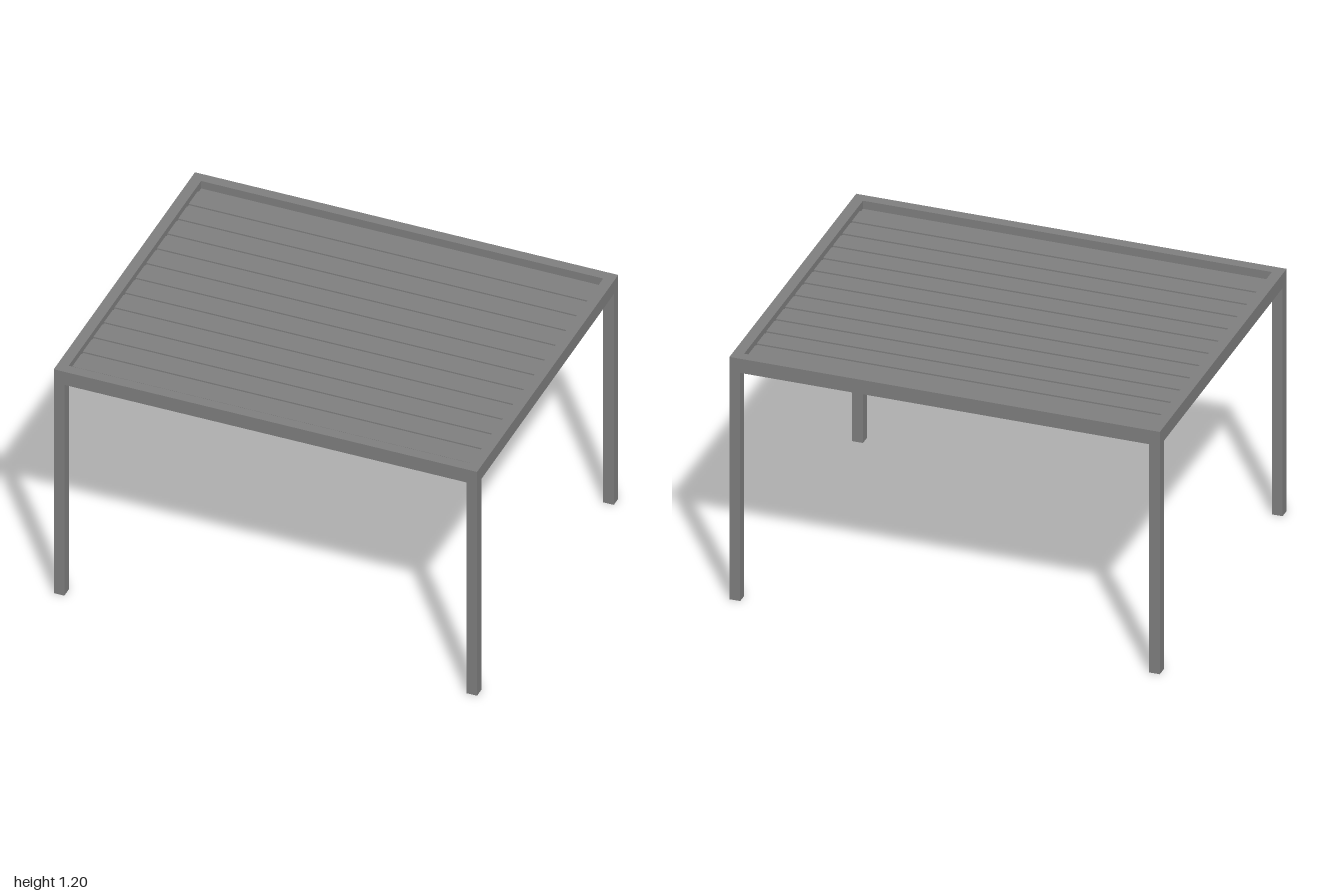
import * as THREE from 'three';

export function createModel() {
  const model = new THREE.Group();
  model.name = 'pergola';
  const grey = new THREE.MeshStandardMaterial({ color: 0x808080 });
  grey.name = 'grey metal';

  // Box given by its centre in x and z, and its bottom and top heights
  function box(name, parent, width, bottom, top, depth, x, z) {
    const mesh = new THREE.Mesh(new THREE.BoxGeometry(width, top - bottom, depth), grey);
    mesh.position.set(x, (bottom + top) / 2, z);
    mesh.name = name;
    parent.add(mesh);
  }

  const W = 2, D = 1.6, H = 1.2, T = 0.05, beamBottom = 1.13;
  const innerW = W - 2 * T;

  // Four square corner posts
  const posts = new THREE.Group();
  posts.name = 'posts';
  for (const sx of [-1, 1]) {
    for (const sz of [-1, 1]) {
      box('post', posts, T, 0, beamBottom, T, sx * (W - T) / 2, sz * (D - T) / 2);
    }
  }

  // Roof frame
  const frame = new THREE.Group();
  frame.name = 'roofFrame';
  for (const s of [-1, 1]) {
    box(s > 0 ? 'frontBeam' : 'backBeam', frame, W, beamBottom, H, T, 0, s * (D - T) / 2);
    box(s > 0 ? 'leftBeam' : 'rightBeam', frame, T, beamBottom, H, D - 2 * T, s * (W - T) / 2, 0);
  }

  // Louvre roof: twelve slats with recessed overlap strips between them
  const roof = new THREE.Group();
  roof.name = 'louvreRoof';
  const pitch = 0.12, count = 12, slatDepth = 0.1;
  for (let i = 0; i < count; i++) {
    const z = (i - (count - 1) / 2) * pitch;
    box('slat', roof, innerW, 1.15, 1.17, slatDepth, 0, z);
    if (i < count - 1) {
      box('overlapStrip', roof, innerW, 1.155, 1.163, pitch - slatDepth, 0, z + pitch / 2);
    }
  }

  // Ledges closing the roof at the front and back
  for (const s of [-1, 1]) box('ledge', roof, innerW, 1.152, 1.16, 0.04, 0, s * 0.73);

  model.add(posts, frame, roof);
  return model;
}
